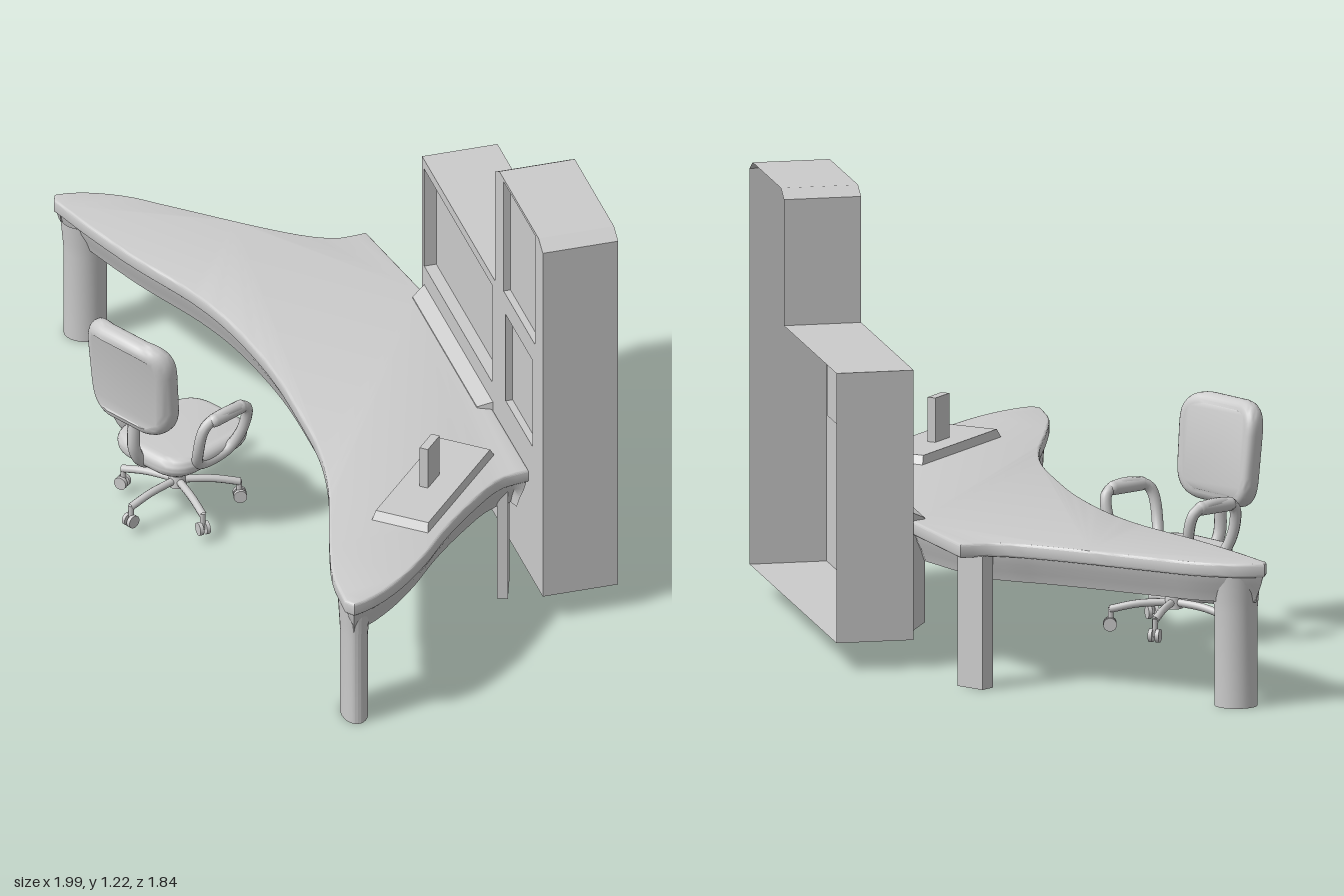
import * as THREE from 'three';
import { toCreasedNormals } from 'three/addons/utils/BufferGeometryUtils.js';

const V = (x, y, z) => new THREE.Vector3(x, y, z);
const solid = new THREE.MeshStandardMaterial({ color: 0xcccccc });
const thin = new THREE.MeshStandardMaterial({ color: 0xcccccc, side: THREE.DoubleSide });

function add(parent, name, geometry, material = solid, pos = [0, 0, 0], rotY = 0) {
  const mesh = new THREE.Mesh(geometry, material);
  mesh.name = name;
  mesh.position.set(...pos);
  mesh.rotation.y = rotY;
  parent.add(mesh);
  return mesh;
}

// Joins equal-length closed rows of points with quads.
function strip(rows, crease = 0.3) {
  const p = [];
  const n = rows[0].length;
  for (let r = 0; r < rows.length - 1; r++) {
    for (let i = 0; i < n; i++) {
      const j = (i + 1) % n;
      const [a, b, c, d] = [rows[r][i], rows[r][j], rows[r + 1][j], rows[r + 1][i]];
      for (const v of [a, b, c, a, c, d]) p.push(v.x, v.y, v.z);
    }
  }
  const g = new THREE.BufferGeometry();
  g.setAttribute('position', new THREE.Float32BufferAttribute(p, 3));
  g.computeVertexNormals();
  return toCreasedNormals(g, crease);
}

function tube(points, radius, closed = false) {
  return new THREE.TubeGeometry(new THREE.CatmullRomCurve3(points, closed), 40, radius, 10, closed);
}

function roundedShape(w, h, r) {
  const s = new THREE.Shape();
  const x = w / 2, y = h / 2;
  s.moveTo(-x + r, -y);
  s.lineTo(x - r, -y).quadraticCurveTo(x, -y, x, -y + r);
  s.lineTo(x, y - r).quadraticCurveTo(x, y, x - r, y);
  s.lineTo(-x + r, y).quadraticCurveTo(-x, y, -x, y - r);
  s.lineTo(-x, -y + r).quadraticCurveTo(-x, -y, -x + r, -y);
  return s;
}

// Padded slab with soft edges, centred on its thickness.
function cushion(w, h, thickness, r) {
  const b = thickness * 0.45;
  const g = new THREE.ExtrudeGeometry(roundedShape(w, h, r), {
    depth: thickness - 2 * b, bevelThickness: b, bevelSize: b, bevelOffset: -b, bevelSegments: 5, curveSegments: 8,
  });
  g.translate(0, 0, -thickness / 2 + b);
  return toCreasedNormals(g, 0.9);
}

function makeDesk() {
  const desk = new THREE.Group();
  desk.name = 'desk';
  // Outline in x, z from the back corner round both wings
  const corners = [
    [-0.12, -0.922], [-0.18, -0.87], [-0.25, -0.85], [-0.37, -0.845], [-0.68, -0.86], [-0.81, -0.865],
    [-0.94, -0.835], [-1.0, -0.79], [-0.94, -0.74], [-0.7, -0.585], [-0.45, -0.45], [-0.31, -0.35],
    [-0.12, -0.17], [0.03, 0.01], [0.17, 0.2], [0.26, 0.37], [0.35, 0.6], [0.43, 0.785], [0.48, 0.86],
    [0.535, 0.922], [0.58, 0.86], [0.615, 0.75], [0.635, 0.6], [0.64, 0.45], [0.66, 0.28], [0.69, 0.15], [0.745, 0.085],
  ].map(([x, z]) => V(x, 0, z));
  const curve = new THREE.CatmullRomCurve3(corners, false, 'centripetal');
  const outline = curve.getSpacedPoints(110).map((p) => new THREE.Vector2(p.x, p.z));
  outline.push(new THREE.Vector2(0.135, -0.69)); // bend where the cabinet starts
  const top = new THREE.ExtrudeGeometry(new THREE.Shape(outline), {
    depth: 0.026, bevelThickness: 0.007, bevelSize: 0.007, bevelOffset: -0.007, bevelSegments: 3,
  });
  top.rotateX(Math.PI / 2);
  add(desk, 'deskTop', toCreasedNormals(top, 0.7), thin, [0, 0.404, 0]);

  // Rolled apron tucked in below the edge, cut back behind the rear corner
  const base = outline.map((p) => new THREE.Vector2(p.x, p.x > -0.3 ? Math.max(p.y, -0.85) : p.y));
  const n = base.length;
  const rows = [[0.372, 0.008], [0.35, 0.014], [0.325, 0.026], [0.297, 0.035]].map(([y, inset]) =>
    base.map((p, i) => {
      const d = base[(i + 1) % n].clone().sub(base[(i + n - 1) % n]).normalize();
      return V(p.x + d.y * inset, y, p.y - d.x * inset);
    }));
  add(desk, 'deskApron', strip(rows, 0.7), thin);
  const underside = new THREE.Shape(rows[3].map((p) => new THREE.Vector2(p.x, p.z)));
  add(desk, 'deskUnderside', new THREE.ShapeGeometry(underside).rotateX(Math.PI / 2), thin, [0, 0.297, 0]);

  // Oval wing legs flaring into the tips
  const profile = [[0, 0], [1, 0], [1, 0.27], [1.06, 0.31], [1.15, 0.37]].map(([r, y]) => new THREE.Vector2(r, y));
  for (const [name, x, z, major, minor, angle] of [
    ['rightWingLeg', -0.895, -0.777, 0.06, 0.055, 0.3], ['leftWingLeg', 0.508, 0.82, 0.068, 0.038, -1.04],
  ]) {
    const g = new THREE.LatheGeometry(profile, 28).scale(major, 1, minor);
    add(desk, name, toCreasedNormals(g, 0.7), thin, [x, 0, z], angle);
  }
  // Flat rear legs
  add(desk, 'rearLeg', new THREE.BoxGeometry(0.09, 0.375, 0.045), solid, [-0.135, 0.1875, -0.858], -0.25);
  add(desk, 'rearLeg', new THREE.BoxGeometry(0.1, 0.375, 0.03), solid, [0.665, 0.1875, 0.075], -1.25);
  return desk;
}

function makeCabinet() {
  const cabinet = new THREE.Group();
  cabinet.name = 'cabinet';
  cabinet.position.set(0.13, 0, -0.7);
  cabinet.rotation.y = -0.908;
  // Stepped front wall with a chamfered tall section
  const edge = [[0, 0.08], [1.133, 0.08], [1.133, 1.195], [1.093, 1.22], [0.725, 1.22], [0.685, 1.195], [0.685, 0.84], [0, 0.84]];
  const front = new THREE.Shape(edge.map(([x, y]) => new THREE.Vector2(x, y)));
  const panels = [ // name, x0, y0, x1, y1, depth, taper
    ['wideRecess', 0.02, 0.495, 0.655, 0.81, -0.035, 0],
    ['tallRecess', 0.765, 0.855, 1.06, 1.21, -0.02, 0],
    ['smallRecess', 0.785, 0.51, 1.035, 0.79, -0.02, 0],
    ['lowerBulge', 0.02, 0.1, 0.665, 0.435, 0.04, 0.02],
  ];
  const rect = (x0, y0, x1, y1, z) => [V(x0, y0, z), V(x1, y0, z), V(x1, y1, z), V(x0, y1, z)];
  for (const [name, x0, y0, x1, y1, depth, t] of panels) {
    front.holes.push(new THREE.Path(rect(x0, y0, x1, y1, 0).map((p) => new THREE.Vector2(p.x, p.y))));
    const mid = V((x0 + x1) / 2, (y0 + y1) / 2, depth);
    const rows = [rect(x0, y0, x1, y1, 0), rect(x0 + t, y0 + t, x1 - t, y1 - t, depth), [mid, mid, mid, mid]];
    add(cabinet, name, strip(rows), thin);
  }
  add(cabinet, 'frontWall', new THREE.ShapeGeometry(front), thin);
  // Sides, top and bottom; the back is open
  add(cabinet, 'casing', strip([0, -0.218].map((z) => edge.map(([x, y]) => V(x, y, z)))), thin);
  return cabinet;
}

function makeChair() {
  const chair = new THREE.Group();
  chair.name = 'chair';
  chair.position.set(-0.325, 0, 0.005);
  chair.rotation.y = -0.418;

  // Five-star base with casters
  for (let i = 0; i < 5; i++) {
    const spoke = new THREE.Group();
    spoke.name = 'baseSpoke';
    spoke.rotation.y = (i * Math.PI * 2) / 5 + 0.89;
    add(spoke, 'spokeArm', tube([V(0, 0.1, 0), V(0.1, 0.095, 0), V(0.175, 0.08, 0)], 0.011));
    add(spoke, 'casterStem', new THREE.CylinderGeometry(0.008, 0.008, 0.05, 8), solid, [0.172, 0.06, 0]);
    for (const s of [-1, 1]) {
      const wheel = new THREE.CylinderGeometry(0.019, 0.019, 0.011, 14).rotateX(Math.PI / 2);
      add(spoke, 'casterWheel', wheel, solid, [0.174, 0.038, s * 0.01]);
    }
    chair.add(spoke);
  }
  add(chair, 'column', new THREE.CylinderGeometry(0.013, 0.013, 0.13, 14), solid, [0, 0.15, 0]);
  add(chair, 'columnHub', new THREE.CylinderGeometry(0.022, 0.027, 0.035, 14), solid, [0, 0.1, 0]);
  add(chair, 'seatPlate', new THREE.CylinderGeometry(0.06, 0.03, 0.02, 14), solid, [0, 0.2, 0]);

  // Seat cushion, narrower at its underside and at the front
  const seat = cushion(0.29, 0.33, 0.06, 0.1).rotateX(-Math.PI / 2);
  const p = seat.attributes.position;
  for (let i = 0; i < p.count; i++) {
    p.setX(i, p.getX(i) * (0.94 + 0.3 * p.getZ(i) + 1.2 * p.getY(i)));
  }
  add(chair, 'seat', seat, solid, [0.01, 0.233, -0.015]);

  // Curved, slightly reclined backrest, narrower at the bottom
  const back = cushion(0.32, 0.3, 0.065, 0.09);
  const q = back.attributes.position;
  for (let i = 0; i < q.count; i++) {
    q.setX(i, q.getX(i) * (0.97 + 0.2 * q.getY(i)));
    q.setZ(i, q.getZ(i) - 1.3 * q.getX(i) ** 2);
  }
  back.computeVertexNormals();
  add(chair, 'backrest', toCreasedNormals(back, 0.9), solid, [-0.005, 0.505, 0.192]).rotation.x = 0.1;
  add(chair, 'backSupport', tube([V(0, 0.21, 0.05), V(0, 0.215, 0.13), V(0, 0.27, 0.168), V(0, 0.385, 0.168)], 0.018));

  // Looped armrests
  for (const s of [-1, 1]) {
    const loop = [
      [0.135, 0.235, -0.05], [0.165, 0.3, -0.08], [0.187, 0.385, -0.075], [0.19, 0.405, 0],
      [0.18, 0.385, 0.075], [0.16, 0.3, 0.085], [0.135, 0.235, 0.055],
    ].map(([x, y, z]) => V(0.007 + s * x, y, z));
    add(chair, 'armrest', tube(loop, 0.016, true));
    const pad = new THREE.CapsuleGeometry(0.02, 0.1, 4, 10).rotateX(Math.PI / 2);
    add(chair, 'armPad', pad, solid, [0.007 + s * 0.188, 0.397, 0]);
  }
  return chair;
}

export function createModel() {
  const model = new THREE.Group();
  model.name = 'workstation';
  model.add(makeDesk(), makeCabinet(), makeChair());

  // Bevelled tray and upright block on the left wing
  const tray = new THREE.Group();
  tray.name = 'deskTray';
  tray.position.set(0.53, 0.41, 0.265);
  tray.rotation.y = -0.055;
  const slab = new THREE.CylinderGeometry(0.66, Math.SQRT1_2, 0.025, 4).rotateY(Math.PI / 4).scale(0.17, 1, 0.45);
  add(tray, 'traySlab', toCreasedNormals(slab, 0.3), solid, [0, 0.0125, 0]);
  add(tray, 'trayBlock', new THREE.BoxGeometry(0.025, 0.13, 0.08), solid, [-0.008, 0.085, 0.005]);
  model.add(tray);
  return model;
}
